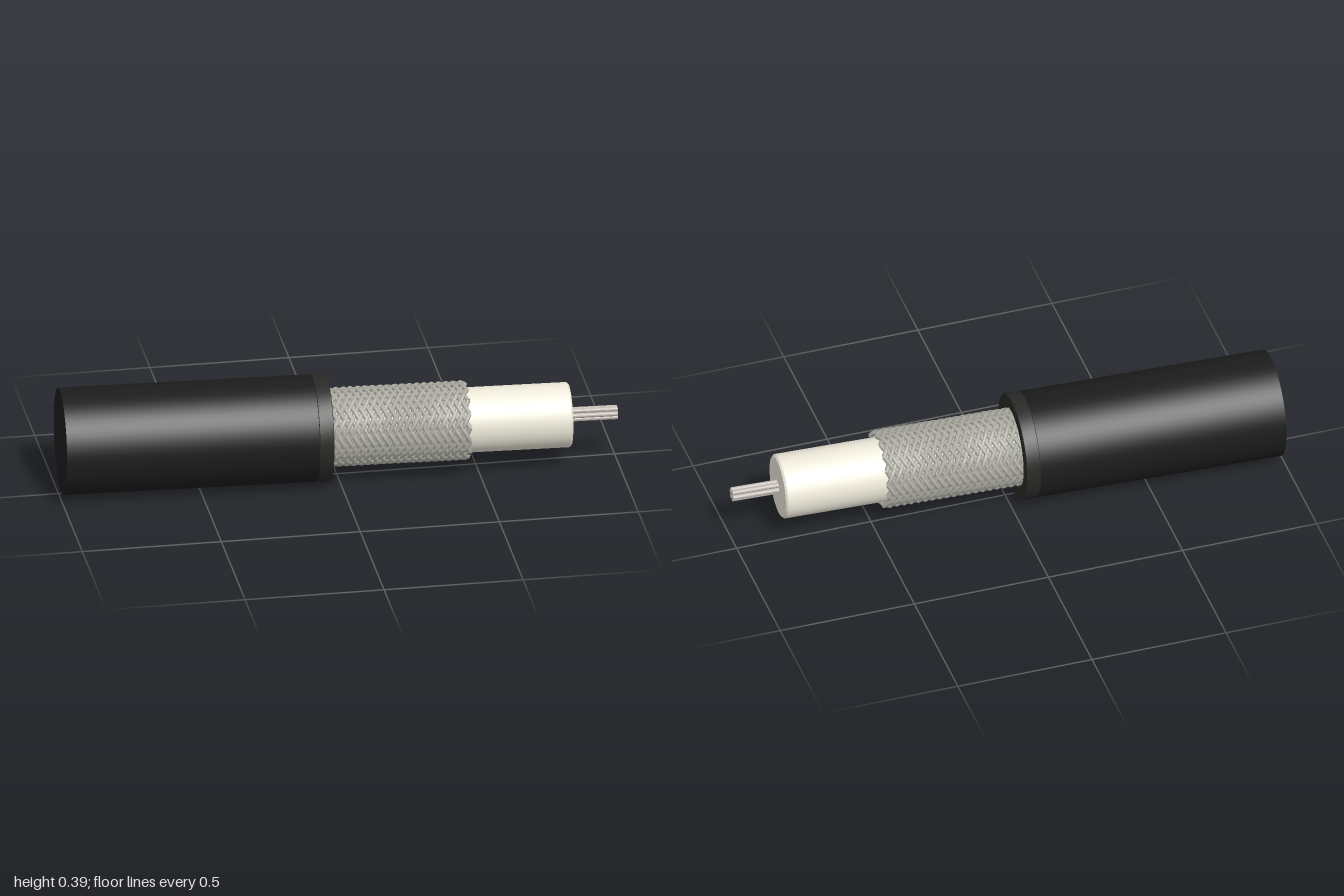
import * as THREE from 'three';
import { toCreasedNormals, mergeGeometries } from 'three/addons/utils/BufferGeometryUtils.js';

const mat = (color) => new THREE.MeshStandardMaterial({ color });

// Solid of revolution along +x from [position, radius] pairs
function turned(name, profile, material, segments = 64) {
  const pts = profile.map(([s, r]) => new THREE.Vector2(r, s));
  const geo = toCreasedNormals(new THREE.LatheGeometry(pts, segments), 0.5);
  geo.rotateZ(-Math.PI / 2);
  const mesh = new THREE.Mesh(geo, material);
  mesh.name = name;
  return mesh;
}

// One wire of the shield: a helix whose radius rises and falls to weave
function braidWire(start, hand, s0, s1, count) {
  const pts = [];
  const turns = (s1 - s0) / 0.42;
  const steps = 64;
  for (let i = 0; i <= steps; i++) {
    const t = i / steps;
    const a = start + hand * t * turns * Math.PI * 2;
    const r = 0.131 + hand * 0.003 * Math.cos(a * count / 2);
    pts.push(new THREE.Vector3(s0 + (s1 - s0) * t, r * Math.cos(a), r * Math.sin(a)));
  }
  return new THREE.TubeGeometry(new THREE.CatmullRomCurve3(pts), 72, 0.0085, 6);
}

export function createModel() {
  const model = new THREE.Group();
  const cable = new THREE.Group();
  cable.name = 'cable';
  model.add(cable);

  const jacketMat = mat(0x1c1c1c);
  const rimMat = mat(0x2a2927);
  const braidMat = mat(0xb0afa5);
  braidMat.side = THREE.DoubleSide;
  const insulatorMat = mat(0xeeeadb);
  const wireMat = mat(0xbfb8b0);

  // Outer jacket with a closed back end
  cable.add(turned('jacket', [[-0.99, 0], [-0.99, 0.191], [-0.085, 0.191]], jacketMat));

  // Cut rim of the jacket, open around the shield
  cable.add(turned('jacketRim', [
    [-0.088, 0.19], [-0.085, 0.193], [-0.037, 0.193], [-0.035, 0.191],
    [-0.035, 0.147], [-0.09, 0.145],
  ], rimMat));

  // Woven shield, wires running in both directions over a thin sleeve
  const count = 16;
  const wires = [];
  for (const hand of [1, -1]) {
    for (let i = 0; i < count; i++) {
      wires.push(braidWire(i / count * Math.PI * 2, hand, -0.08, 0.458, count));
    }
  }
  const braid = new THREE.Mesh(mergeGeometries(wires), braidMat);
  braid.name = 'braidedShield';
  cable.add(braid);
  cable.add(turned('shieldSleeve', [[-0.09, 0.127], [0.455, 0.127]], braidMat));

  // Pale insulator with a small bevel at its cut end
  cable.add(turned('insulator', [
    [-0.09, 0.116], [0.822, 0.116], [0.829, 0.109], [0.83, 0],
  ], insulatorMat));

  // Conductor of seven strands, one in the middle and six around it
  const conductor = new THREE.Group();
  conductor.name = 'conductor';
  for (let i = 0; i < 7; i++) {
    const a = i * Math.PI / 3 + 0.1;
    const r = i === 6 ? 0 : 0.0173;
    const strand = turned('strand', [[0.8, 0.0087], [0.998, 0.0087], [1, 0.007], [1, 0]], wireMat, 16);
    strand.position.set(0, r * Math.sin(a), r * Math.cos(a));
    conductor.add(strand);
  }
  cable.add(conductor);

  // The cable lies slightly turned
  cable.rotation.y = -0.044;
  cable.position.set(0, 0.193, 0.0215);
  return model;
}
